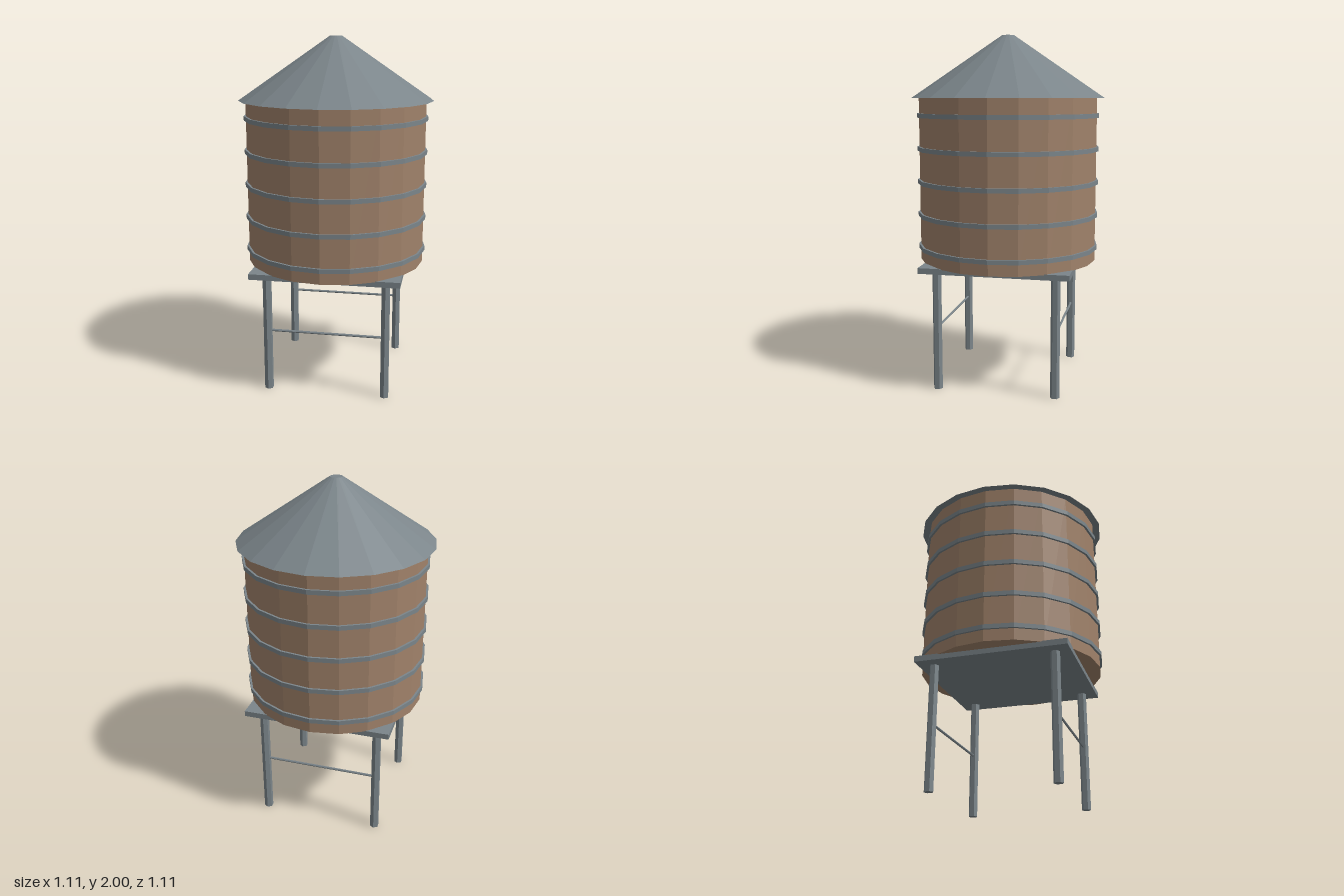
import * as THREE from 'three';

export function createModel() {
  const model = new THREE.Group();
  model.name = 'waterTower';

  const wood = new THREE.MeshStandardMaterial({ color: 0xa0826a, flatShading: true });
  wood.name = 'wood';
  const metal = new THREE.MeshStandardMaterial({ color: 0x7b858a, flatShading: true });
  metal.name = 'greyMetal';

  const add = (name, geometry, material, x, y, z) => {
    const mesh = new THREE.Mesh(geometry, material);
    mesh.name = name;
    mesh.position.set(x, y, z);
    model.add(mesh);
    return mesh;
  };

  const SIDES = 20;

  // Wooden tank and conical roof with a small flat tip
  add('tank', new THREE.CylinderGeometry(0.512, 0.512, 0.935, SIDES), wood, 0, 1.1825, 0);
  add('roof', new THREE.CylinderGeometry(0.035, 0.553, 0.352, SIDES), metal, 0, 1.824, 0);

  // Hoops around the tank
  const hoop = new THREE.CylinderGeometry(0.524, 0.524, 0.025, SIDES);
  for (let i = 0; i < 5; i++) add('hoop', hoop, metal, 0, 0.793 + i * 0.189, 0);

  // Square platform
  add('platform', new THREE.BoxGeometry(0.844, 0.032, 0.844), metal, 0, 0.703, 0);

  // Four hexagonal legs, with a cross brace at the front and back
  const leg = new THREE.CylinderGeometry(0.026, 0.026, 0.69, 6);
  const brace = new THREE.CylinderGeometry(0.007, 0.007, 0.674, 6);
  for (const z of [-0.337, 0.337]) {
    for (const x of [-0.337, 0.337]) add('leg', leg, metal, x, 0.345, z);
    add('brace', brace, metal, 0, 0.36, z).rotation.z = Math.PI / 2;
  }

  return model;
}
